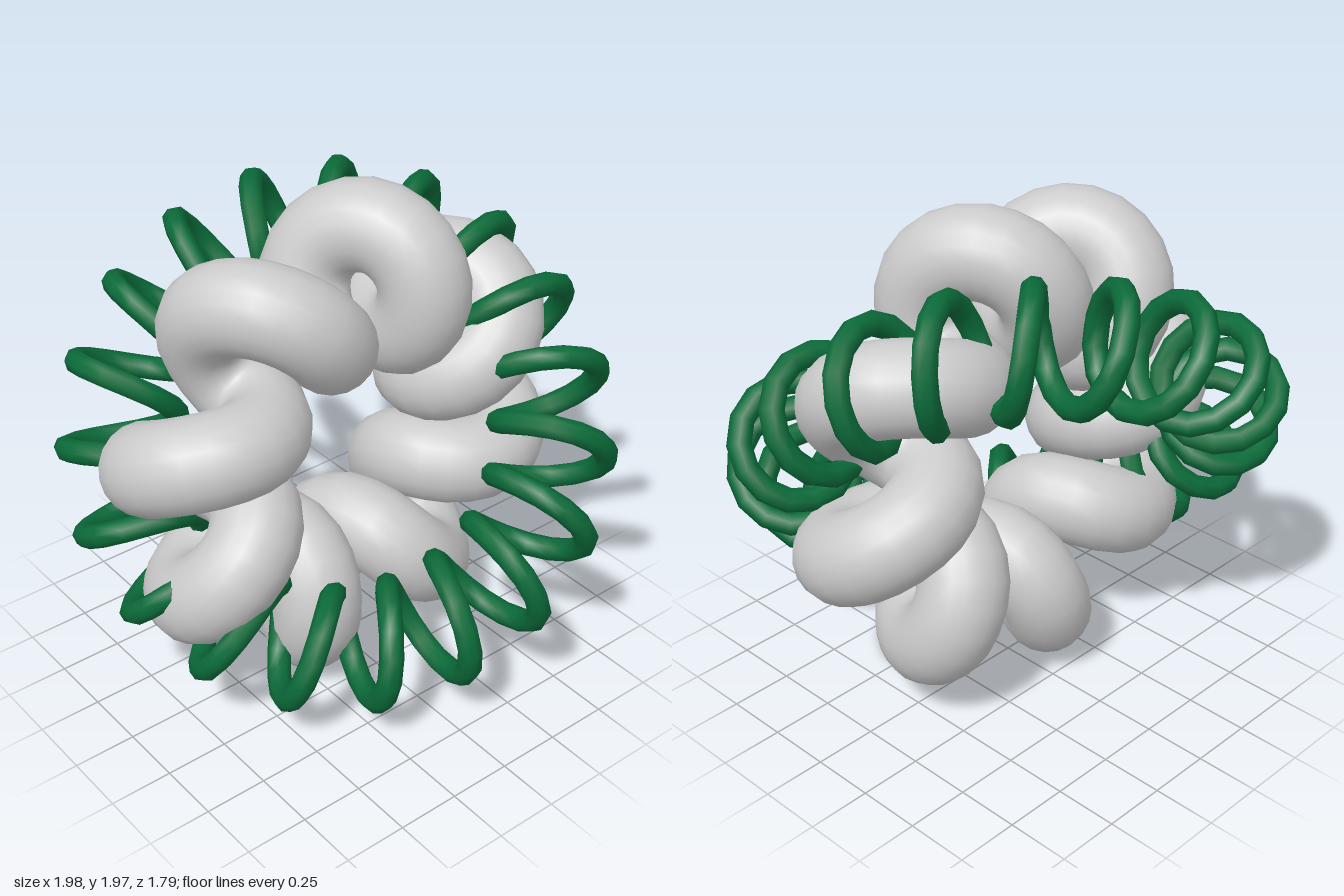
import * as THREE from 'three';

// Closed helix wound around a ring lying in the local xy plane
class RingCoil extends THREE.Curve {
  constructor(ringRadius, coilRadius, turns, phase) {
    super();
    Object.assign(this, { ringRadius, coilRadius, turns, phase });
    this.arcLengthDivisions = 3000;
  }
  getPoint(t, target = new THREE.Vector3()) {
    const u = t * Math.PI * 2;
    const v = this.turns * (u - this.phase); // negative turns wind the other way
    const d = this.ringRadius + this.coilRadius * Math.cos(v);
    return target.set(d * Math.cos(u), d * Math.sin(u), this.coilRadius * Math.sin(v));
  }
}

function coilMesh(name, curve, segments, thickness, sides, color) {
  const mesh = new THREE.Mesh(
    new THREE.TubeGeometry(curve, segments, thickness, sides, true),
    new THREE.MeshStandardMaterial({ color })
  );
  mesh.name = name;
  return mesh;
}

export function createModel() {
  const group = new THREE.Group();
  group.name = 'interlockedCoils';
  const rad = THREE.MathUtils.degToRad;

  // Thick upright coil, eight turns
  const thick = coilMesh('thickCoil', new RingCoil(0.64, 0.19, -8, rad(78)), 160, 0.174, 20, 0xcccccc);
  thick.position.y = 1;
  group.add(thick);

  // Thin tilted coil, nineteen turns
  const thin = coilMesh('thinCoil', new RingCoil(0.82, 0.21, 19, rad(1.5)), 266, 0.046, 8, 0x0b6b3a);
  const normal = new THREE.Vector3(-0.44, 0.65, 0.62).normalize();
  const axisX = new THREE.Vector3(normal.y, -normal.x, 0).normalize();
  const axisY = new THREE.Vector3().crossVectors(normal, axisX);
  thin.quaternion.setFromRotationMatrix(new THREE.Matrix4().makeBasis(axisX, axisY, normal));
  thin.position.y = 1;
  group.add(thin);

  return group;
}
